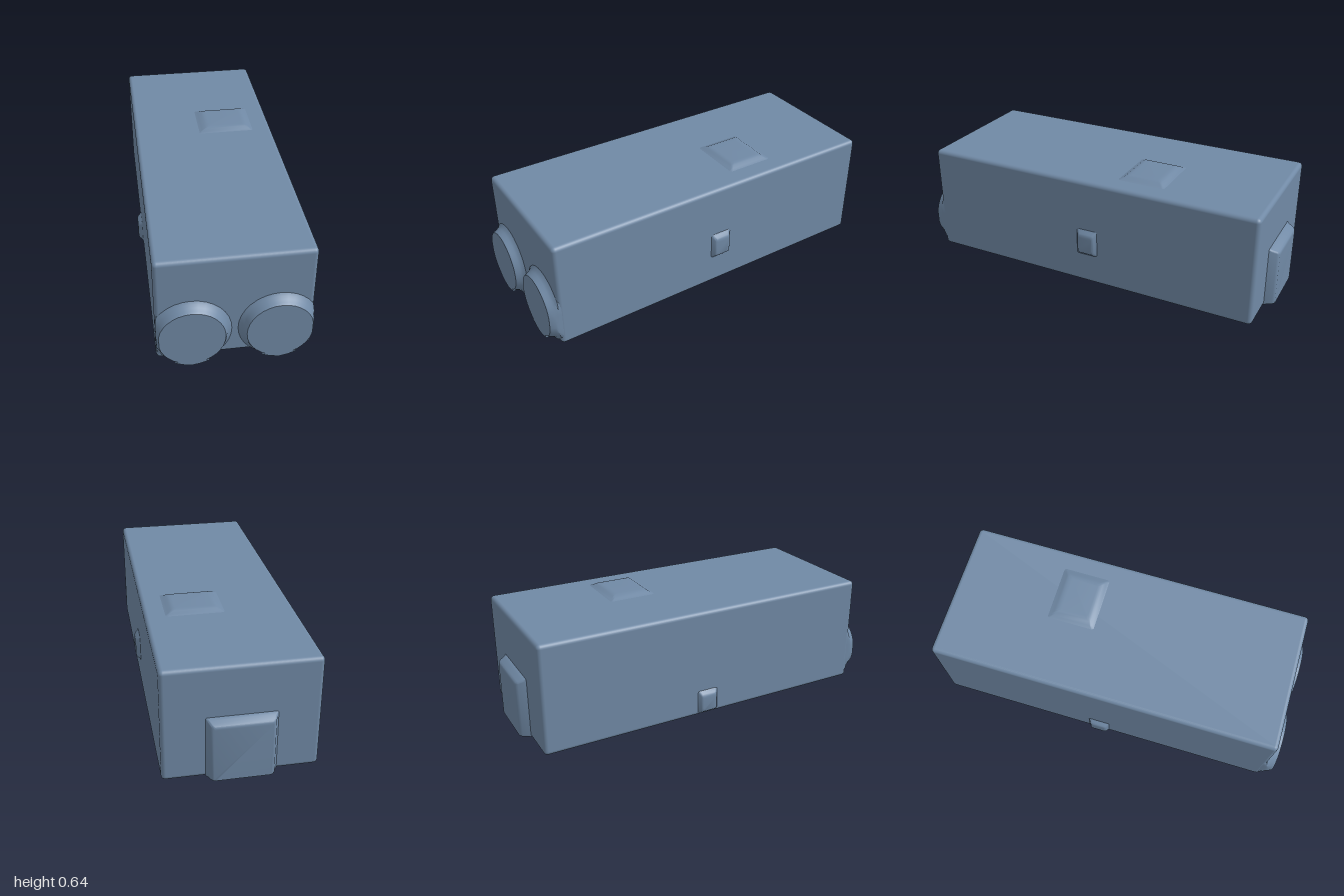
import * as THREE from 'three';
import { toCreasedNormals } from 'three/addons/utils/BufferGeometryUtils.js';
import { RoundedBoxGeometry } from 'three/addons/geometries/RoundedBoxGeometry.js';

const casing = new THREE.MeshStandardMaterial({ name: 'steelBlue', color: 0x7089a5 });

function add(parent, name, geometry) {
  const mesh = new THREE.Mesh(geometry, casing);
  mesh.name = name;
  parent.add(mesh);
  return mesh;
}

// Skins a stack of closed rings (arrays of [x, y, z], counter-clockwise towards +z) and caps the last one.
function loft(rings, crease = 0.6) {
  const n = rings[0].length;
  const position = rings.flat(2);
  const index = [];
  for (let r = 0; r < rings.length - 1; r++) {
    for (let i = 0; i < n; i++) {
      const a = r * n + i, b = r * n + (i + 1) % n;
      index.push(a, b, b + n, a, b + n, a + n);
    }
  }
  const last = (rings.length - 1) * n;
  for (let i = 1; i < n - 1; i++) index.push(last, last + i, last + i + 1);
  const geometry = new THREE.BufferGeometry();
  geometry.setAttribute('position', new THREE.Float32BufferAttribute(position, 3));
  geometry.setIndex(index);
  return toCreasedNormals(geometry, crease);
}

// Rounded rectangle ring between u0..u1 and v0..v1 at height h.
function rectRing([u0, u1, v0, v1], h, radius) {
  const ring = [];
  const corners = [[u1, v1, -1, -1], [u0, v1, 1, -1], [u0, v0, 1, 1], [u1, v0, -1, 1]];
  corners.forEach(([u, v, su, sv], c) => {
    for (let k = 0; k <= 3; k++) {
      const a = (c + k / 3) * Math.PI / 2;
      ring.push([u + radius * (su + Math.cos(a)), v + radius * (sv + Math.sin(a)), h]);
    }
  });
  return ring;
}

// Raised pad with a soft foot and a softened upper edge.
function pad(base, top, height, radius) {
  const steps = [[0, -0.3], [0, 0], [0.35, 0.3], [0.7, 0.75], [1, 0.94], [1.3, 1]];
  return loft(steps.map(([t, h]) =>
    rectRing(base.map((b, i) => b + (top[i] - b) * t / 1.3), h * height, radius)));
}

export function createModel() {
  const model = new THREE.Group();
  model.name = 'housing';

  // Main block
  add(model, 'body', new RoundedBoxGeometry(0.774, 0.6, 1.9, 3, 0.022)).position.y = 0.32;

  for (const side of [-1, 1]) {
    const group = new THREE.Group();
    group.name = side > 0 ? 'leftLens' : 'rightLens';
    model.add(group);

    // Round boss flaring into the front face, trimmed to the body's sides
    const cx = 0.215 * side, cy = 0.178;
    const profile = [[0.205, 0.93], [0.2, 0.95], [0.187, 0.96], [0.178, 0.972], [0.171, 0.988], [0.164, 1]];
    const rings = profile.map(([r, z]) => {
      const ring = [];
      for (let i = 0; i < 32; i++) {
        const a = i / 32 * Math.PI * 2;
        const limit = 0.386 - Math.max(0, z - 0.97) * 0.4;
        ring.push([
          THREE.MathUtils.clamp(cx + r * Math.cos(a), -limit, limit),
          Math.max(0.012, cy + r * Math.sin(a)), z]);
      }
      return ring;
    });
    add(group, 'frontBoss', loft(rings));

    // Shallow keel beneath, where the barrel shows through the floor
    const keel = [[0.23, 0.05, 0.021], [0.26, 0.075, 0.009], [0.3, 0.085, 0.001], [0.999, 0.085, 0]].map(([z, w, y]) => [
      [cx - w, 0.024, z], [cx - w * 0.5, 0.021 + (y - 0.021) * 0.6, z], [cx, y, z],
      [cx + w * 0.5, 0.021 + (y - 0.021) * 0.6, z], [cx + w, 0.024, z], [cx, 0.04, z]]);
    add(group, 'barrelKeel', loft(keel));
  }

  // Top button plate
  const topPad = add(model, 'topPlate', pad([-0.025, 0.28, 0.15, 0.41], [0.035, 0.225, 0.2, 0.36], 0.02, 0.012));
  topPad.rotation.x = -Math.PI / 2;
  topPad.position.y = 0.62;

  // Rear cover plate
  const rear = add(model, 'rearPlate', pad([-0.175, 0.175, 0.02, 0.355], [-0.14, 0.14, 0.026, 0.325], 0.05, 0.01));
  rear.rotation.y = Math.PI;
  rear.position.z = -0.95;

  // Side buttons, set at different heights
  const leftButton = add(model, 'leftButton', pad([-0.042, 0.078, 0.19, 0.34], [-0.018, 0.055, 0.22, 0.305], 0.024, 0.012));
  leftButton.rotation.y = Math.PI / 2;
  leftButton.position.x = 0.387;
  const rightButton = add(model, 'rightButton', pad([-0.078, 0.042, 0.03, 0.165], [-0.055, 0.018, 0.06, 0.135], 0.024, 0.012));
  rightButton.rotation.y = -Math.PI / 2;
  rightButton.position.x = -0.387;

  return model;
}
